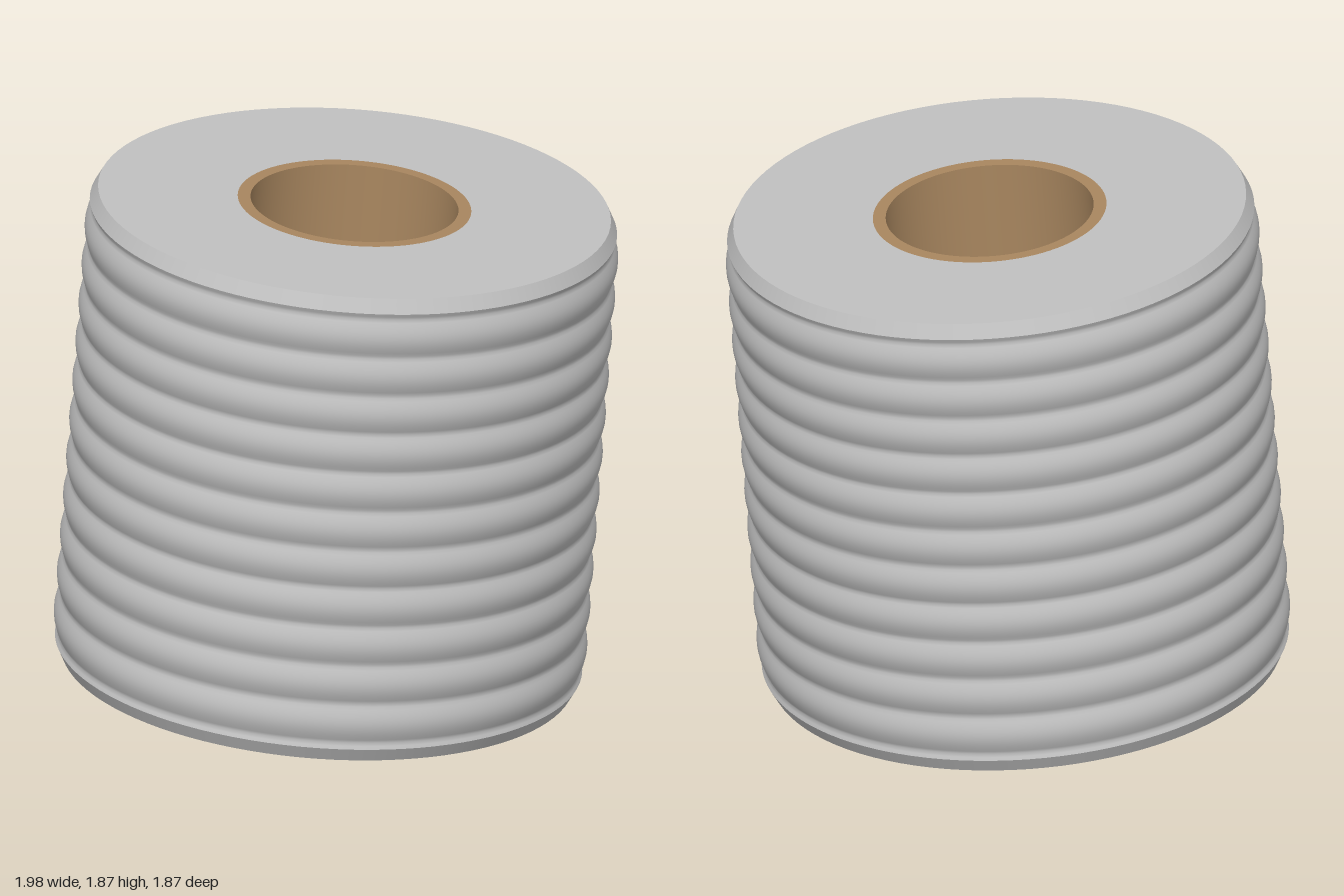
import * as THREE from 'three';

const HEIGHT = 1.74, RIM = 0.9, OUTER = 0.936, CORE = 0.41, BORE = 0.365;
const RIBS = 12, DEPTH = 0.02, SEGMENTS = 96;

export function createModel() {
  const wrapMat = new THREE.MeshStandardMaterial({ color: 0xc0c0c0 });
  wrapMat.name = 'wrapGrey';
  const coreMat = new THREE.MeshStandardMaterial({ color: 0xa8865f });
  coreMat.name = 'cardboardTan';

  const roll = new THREE.Group();
  roll.name = 'roll';
  const half = HEIGHT / 2;
  const add = (name, geometry, material, y = 0) => {
    const mesh = new THREE.Mesh(geometry, material);
    mesh.name = name;
    mesh.position.y = y;
    roll.add(mesh);
    return mesh;
  };

  // Ribbed outer winding, rounded ribs with sharp valleys
  const pitch = HEIGHT / RIBS, chamfer = 0.05, steps = 144;
  const profile = [];
  for (let i = 0; i <= steps; i++) {
    const y = -half + chamfer + (HEIGHT - 2 * chamfer) * i / steps;
    const bulge = Math.abs(Math.cos(Math.PI * y / pitch));
    profile.push(new THREE.Vector2(OUTER - DEPTH * (1 - bulge), y));
  }
  add('ribbedWinding', new THREE.LatheGeometry(profile, SEGMENTS), wrapMat);

  // Bevels between the winding and the flat ends
  const edge = profile[0].x;
  add('topBevel', new THREE.CylinderGeometry(RIM, edge, chamfer, SEGMENTS, 1, true), wrapMat, half - chamfer / 2);
  add('bottomBevel', new THREE.CylinderGeometry(edge, RIM, chamfer, SEGMENTS, 1, true), wrapMat, -half + chamfer / 2);

  // Flat end faces: grey winding and tan core rim
  for (const [side, s] of [['top', 1], ['bottom', -1]]) {
    add(side + 'Face', new THREE.RingGeometry(CORE, RIM, SEGMENTS), wrapMat, s * half).rotation.x = -s * Math.PI / 2;
    add(side + 'CoreRim', new THREE.RingGeometry(BORE, CORE, SEGMENTS), coreMat, s * half).rotation.x = -s * Math.PI / 2;
  }

  // Inner wall of the hollow core, facing the axis
  const bore = [new THREE.Vector2(BORE, half), new THREE.Vector2(BORE, -half)];
  add('coreWall', new THREE.LatheGeometry(bore, SEGMENTS), coreMat);

  // The roll leans slightly to its left
  roll.rotation.z = -0.0745;
  roll.position.y = 0.936;

  const model = new THREE.Group();
  model.name = 'leaningRoll';
  model.add(roll);
  return model;
}
